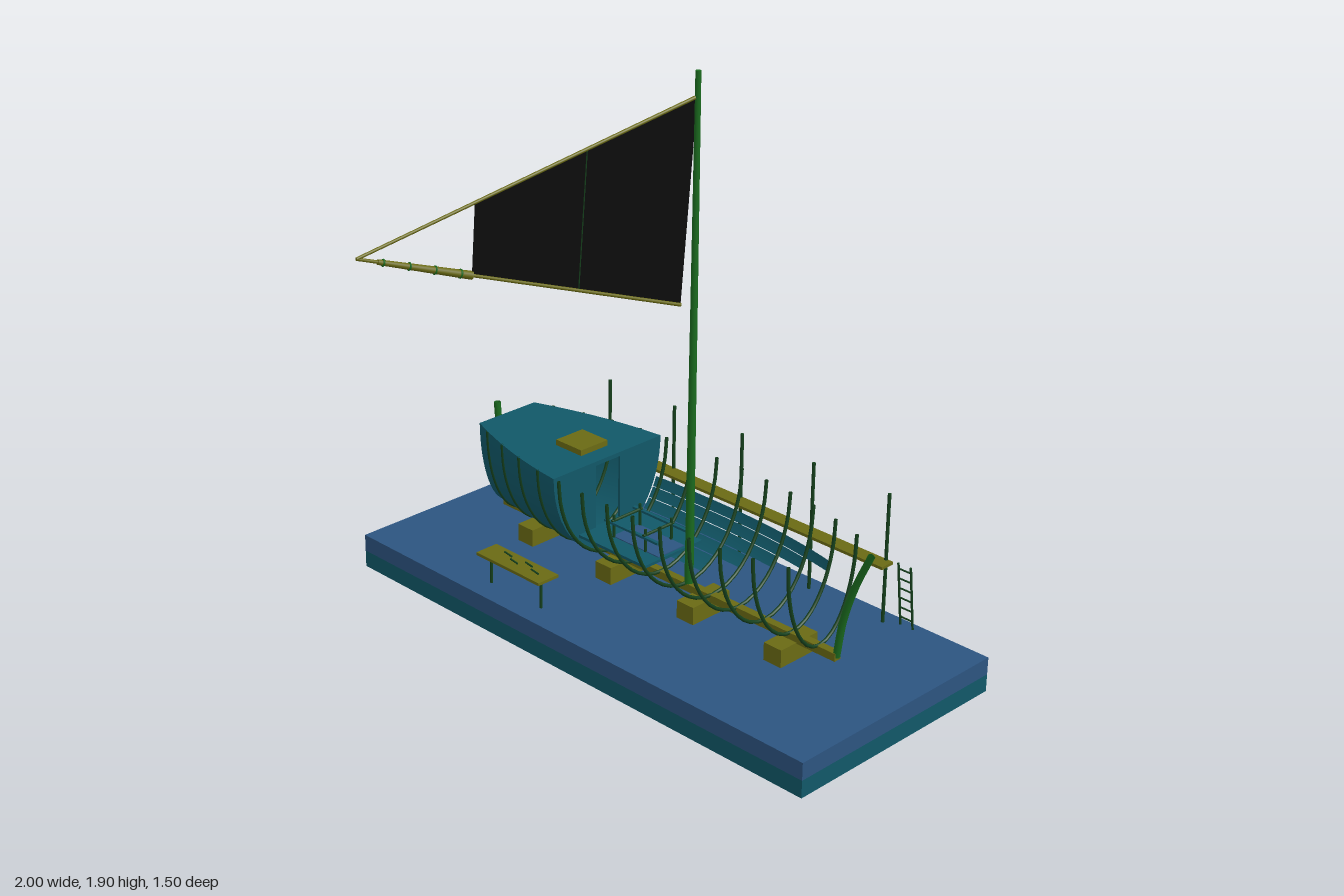
import * as THREE from 'three';
import { ParametricGeometry } from 'three/addons/geometries/ParametricGeometry.js';

const mat = (color) => new THREE.MeshStandardMaterial({ color, side: THREE.DoubleSide });
const V = (x, y, z) => new THREE.Vector3(x, y, z);
const KEEL_Y = 0.2, RAIL_Y = 0.525, MID_Z = -0.32;

// Half-beam of the hull at the rail, for a station x
const halfBeam = (x) => x < -0.1
  ? 0.252 - 0.127 * ((-0.1 - x) / 0.65) ** 2
  : 0.252 - 0.095 * (Math.max(x, 0) / 0.675) ** 2.3;

// Point on the hull skin: a from -PI/2 (rail, back side) through 0 (keel) to PI/2
const hullPoint = (x, a, target = V(0, 0, 0)) => target.set(
  x, KEEL_Y + (RAIL_Y - KEEL_Y) * (1 - Math.cos(a)), MID_Z + halfBeam(x) * Math.sin(a));
const angleAt = (y) => Math.acos(1 - (y - KEEL_Y) / (RAIL_Y - KEEL_Y));

export function createModel() {
  const model = new THREE.Group();
  const blue = mat(0x2c5480), teal = mat(0x115868), green = mat(0x1a6a1e),
    darkGreen = mat(0x15401c), olive = mat(0x6a6a14), black = mat(0x0c0c0c);

  const add = (name, geometry, material, parent = model) => {
    const mesh = new THREE.Mesh(geometry, material);
    mesh.name = name;
    parent.add(mesh);
    return mesh;
  };
  // Box given by its limits
  const box = (name, x0, x1, y0, y1, z0, z1, material, parent) => {
    const m = add(name, new THREE.BoxGeometry(x1 - x0, y1 - y0, z1 - z0), material, parent);
    m.position.set((x0 + x1) / 2, (y0 + y1) / 2, (z0 + z1) / 2);
    return m;
  };
  // Round bar from a to b
  const bar = (name, a, b, r0, r1, material, parent) => {
    const m = add(name, new THREE.CylinderGeometry(r1, r0, a.distanceTo(b), 10), material, parent);
    m.position.copy(a).lerp(b, 0.5);
    m.quaternion.setFromUnitVectors(V(0, 1, 0), b.clone().sub(a).normalize());
    return m;
  };
  const tube = (name, points, r, material, parent) =>
    add(name, new THREE.TubeGeometry(new THREE.CatmullRomCurve3(points), 24, r, 8), material, parent);
  const surface = (name, fn, nu, nv, material, parent) =>
    add(name, new ParametricGeometry(fn, nu, nv), material, parent);
  const group = (name) => {
    const g = new THREE.Group();
    g.name = name;
    model.add(g);
    return g;
  };

  // Slipway slab in two layers
  box('baseLower', -1, 1, 0, 0.06, -0.75, 0.12, teal);
  box('baseUpper', -1, 1, 0.06, 0.12, -0.75, 0.12, blue);

  // Keel on its blocks, with stem and sternpost
  for (const x of [-0.57, -0.19, 0.185, 0.56])
    box('keelBlock', x - 0.036, x + 0.036, 0.12, 0.182, MID_Z - 0.085, MID_Z + 0.085, olive);
  box('keel', -0.76, 0.75, 0.178, 0.205, MID_Z - 0.014, MID_Z + 0.014, olive);
  tube('sternpost', [V(-0.75, 0.19, MID_Z), V(-0.775, 0.32, MID_Z), V(-0.79, 0.44, MID_Z), V(-0.8, 0.55, MID_Z)], 0.012, green);
  tube('stem', [V(0.745, 0.19, MID_Z), V(0.765, 0.32, MID_Z), V(0.805, 0.45, MID_Z), V(0.86, 0.575, MID_Z)], 0.012, green);

  // Ribs
  const ribs = group('ribs');
  for (let i = 0; i < 13; i++) {
    const x = -0.68 + i * 0.1129;
    const pts = Array.from({ length: 13 }, (_, k) => hullPoint(x, (k / 12 - 0.5) * Math.PI));
    tube('rib', pts, 0.006, darkGreen, ribs);
  }

  // Finished stern part: skin, deck and bulkhead with doorway
  const X0 = -0.75, X1 = -0.255;
  surface('hullSkin', (u, v, t) => hullPoint(X0 + (X1 - X0) * u, (v - 0.5) * Math.PI, t), 16, 32, teal);
  surface('deck', (u, v, t) => {
    const x = X0 + (X1 - X0) * u;
    t.set(x, RAIL_Y, MID_Z + (2 * v - 1) * halfBeam(x));
  }, 16, 2, teal);
  const section = new THREE.Shape();
  for (let k = 0; k <= 24; k++) {
    const p = hullPoint(X1, (k / 24 - 0.5) * Math.PI);
    section[k ? 'lineTo' : 'moveTo'](MID_Z - p.z, p.y);
  }
  const door = new THREE.Path();
  door.moveTo(-0.055, 0.285).lineTo(-0.055, 0.51).lineTo(0.055, 0.51).lineTo(0.055, 0.285);
  section.holes.push(door);
  const bulkhead = add('bulkhead', new THREE.ExtrudeGeometry(section, { depth: 0.008, bevelEnabled: false }), teal);
  bulkhead.rotation.y = Math.PI / 2;
  bulkhead.position.set(X1 - 0.008, 0, MID_Z);
  bulkhead.geometry.translate(-MID_Z * 2, 0, 0).translate(MID_Z * 2, 0, 0);
  box('deckHatch', -0.44, -0.32, 0.525, 0.545, -0.38, -0.26, olive);

  // Lower floor with a low frame on it
  const floor = group('lowerFloor');
  box('floor', -0.255, 0.05, 0.275, 0.285, MID_Z - 0.132, MID_Z + 0.132, teal, floor);
  box('floorPanel', -0.17, 0.04, 0.285, 0.288, MID_Z - 0.06, MID_Z + 0.06, blue, floor);
  for (const s of [-1, 1])
    box('frameRail', -0.2, 0.045, 0.335, 0.343, MID_Z + s * 0.066 - 0.006, MID_Z + s * 0.066 + 0.006, teal, floor);
  for (const x of [-0.165, -0.02]) {
    bar('crossbar', V(x, 0.345, MID_Z - 0.07), V(x, 0.345, MID_Z + 0.07), 0.005, 0.005, darkGreen, floor);
    for (const s of [-1, 1])
      bar('frameLeg', V(x, 0.285, MID_Z + s * 0.06), V(x, 0.365, MID_Z + s * 0.06), 0.005, 0.005, darkGreen, floor);
  }

  // Strakes fitted so far on the back side, each shorter than the one above
  const strakes = group('strakes');
  for (let i = 0; i < 5; i++) {
    const yTop = 0.38 - i * 0.034, end = 0.561 - i * 0.1129;
    const a1 = angleAt(yTop), a0 = angleAt(yTop - 0.032);
    surface('strake', (u, v, t) => {
      hullPoint(-0.255 + (end + 0.255) * u, -(a0 + (a1 - a0) * v), t);
      t.z -= 0.007;
    }, 20, 3, teal, strakes);
  }

  // Mast and yard sail
  bar('mast', V(0.12, KEEL_Y, MID_Z), V(0.12, 1.905, MID_Z), 0.015, 0.009, green);
  const head = V(0.118, 1.825, MID_Z), tack = V(0.072, 1.155, -0.31), peak = V(-0.175, 1.508, 0.745);
  const along = (a, t) => a.clone().lerp(peak, t);
  const sail = group('sail');
  surface('sailCloth', (u, v, t) => t.copy(along(head, u * 0.665).lerp(along(tack, u * 0.665), v)), 8, 8, black, sail);
  bar('sailSeam', along(head, 0.335), along(tack, 0.335), 0.002, 0.002, darkGreen, sail);
  bar('upperSpar', head, peak, 0.006, 0.005, olive, sail);
  bar('lowerSpar', tack, peak, 0.006, 0.005, olive, sail);
  bar('furledCloth', along(tack, 0.665), along(tack, 0.94), 0.013, 0.008, olive, sail);
  for (let i = 0; i < 4; i++) {
    const ring = add('lashing', new THREE.TorusGeometry(0.012 - i * 0.001, 0.003, 6, 12), green, sail);
    ring.position.copy(along(tack, 0.7 + i * 0.075));
    ring.lookAt(peak);
  }

  // Scaffold along the back side with its ladder
  const scaffold = group('scaffold');
  for (let i = -2; i <= 2; i++)
    bar('scaffoldPole', V(i * 0.3125, 0.12, -0.69), V(i * 0.3125, 0.575, -0.69), 0.006, 0.006, darkGreen, scaffold);
  box('scaffoldPlank', -0.65, 0.65, 0.333, 0.343, -0.695, -0.64, olive, scaffold);
  for (const x of [0.675, 0.725])
    bar('ladderRail', V(x, 0.12, -0.718), V(x, 0.35, -0.69), 0.004, 0.004, darkGreen, scaffold);
  for (let i = 0; i < 6; i++) {
    const y = 0.15 + i * 0.036, z = -0.718 + 0.028 * (y - 0.12) / 0.23;
    bar('ladderRung', V(0.675, y, z), V(0.725, y, z), 0.003, 0.003, darkGreen, scaffold);
  }

  // Workbench with a few tools
  const bench = group('workbench');
  box('benchTop', -0.467, -0.167, 0.226, 0.236, -0.012, 0.075, olive, bench);
  for (const x of [-0.44, -0.2])
    bar('benchLeg', V(x, 0.12, 0.035), V(x, 0.23, 0.035), 0.005, 0.005, darkGreen, bench);
  for (let i = 0; i < 4; i++) {
    const x = -0.4 + i * 0.05, z = 0.01 + (i % 2) * 0.02;
    bar('tool', V(x, 0.239, z), V(x + 0.04, 0.239, z + 0.006), 0.003, 0.003, darkGreen, bench);
  }
  return model;
}
